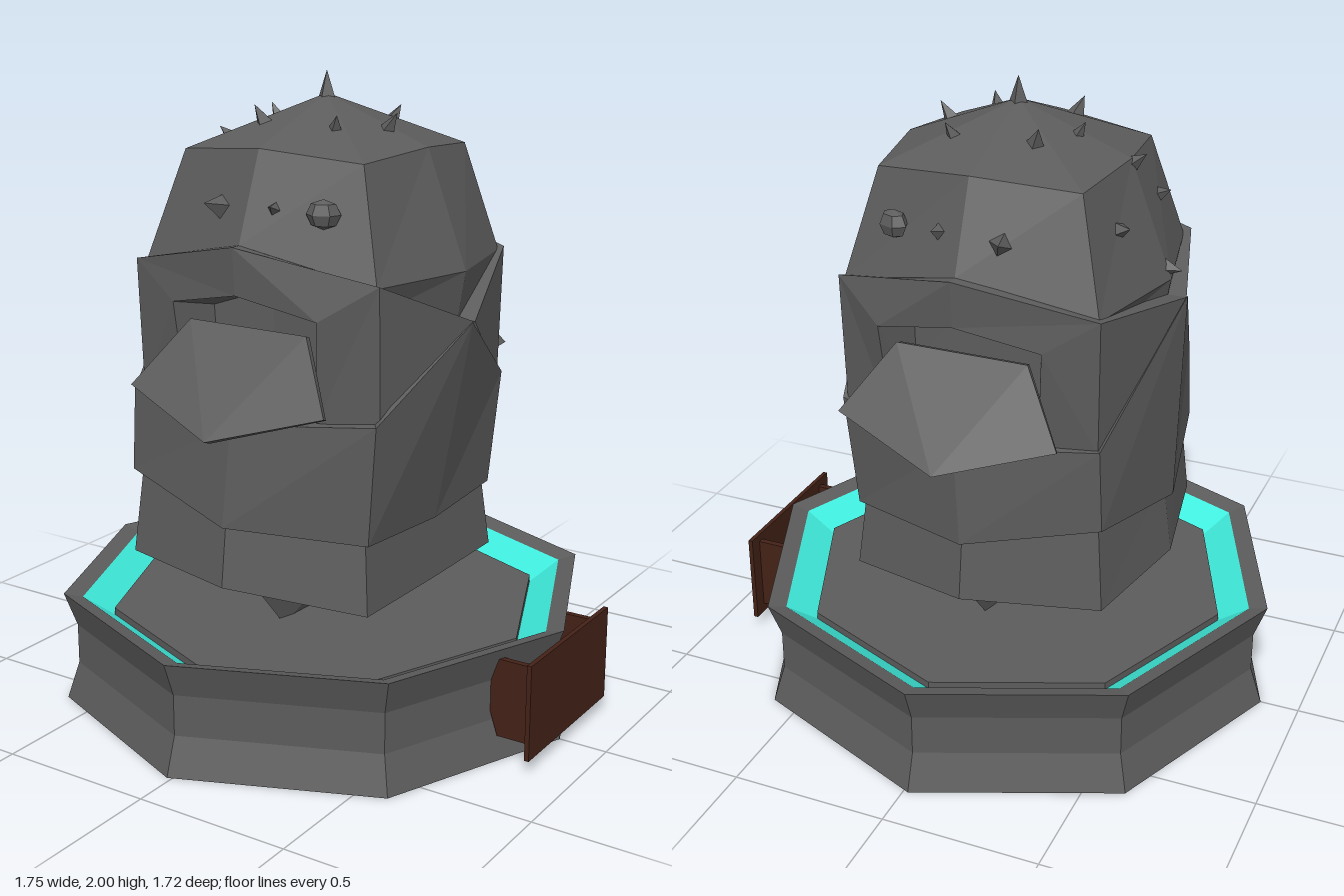
import * as THREE from 'three';

const stone = new THREE.MeshStandardMaterial({ color: 0x5c5c5c, flatShading: true, side: THREE.DoubleSide });
const wood = new THREE.MeshStandardMaterial({ color: 0x442217, flatShading: true });
const waterMat = new THREE.MeshStandardMaterial({ color: 0x40f0e0, flatShading: true, side: THREE.DoubleSide });

function mesh(name, geometry, material = stone) {
  const m = new THREE.Mesh(geometry, material);
  m.name = name;
  return m;
}

// Flat polygons given as corner lists, each split into a fan
function polygons(points, faces) {
  const pos = [];
  for (const f of faces)
    for (let i = 1; i < f.length - 1; i++)
      pos.push(...points[f[0]], ...points[f[i]], ...points[f[i + 1]]);
  const g = new THREE.BufferGeometry();
  g.setAttribute('position', new THREE.Float32BufferAttribute(pos, 3));
  g.computeVertexNormals();
  return g;
}

// Eight-point ring: f = [z, y] front and back, k = [x, z, y] corners, s = [x, y] left side;
// kr = corner z and sr = [x, y] on the right side; shifted in x and z, tilted across x
function ring(f, k, s, { kr = k[1], sr = s, shift = 0, dz = 0, tilt = 0 } = {}) {
  return [
    [0, f[1], f[0]], [k[0], k[2], k[1]], [s[0], s[1], 0], [k[0], k[2], -k[1]],
    [0, f[1], -f[0]], [-k[0], k[2], -kr], [-sr[0], sr[1], 0], [-k[0], k[2], kr],
  ].map(([x, y, z]) => [x + shift, y + x * tilt, z + dz]);
}
const point = (x, y) => ring([0, y], [0, 0, y], [0, y], { shift: x });

// Skin between rings, listed from bottom to top
function loft(rings) {
  const faces = [];
  for (let r = 0; r < rings.length - 1; r++)
    for (let i = 0; i < 8; i++) {
      const j = (i + 1) % 8, a = r * 8, b = a + 8;
      faces.push([a + i, a + j, b + j, b + i]);
    }
  return polygons(rings.flat(), faces);
}

// Eight-sided turned shape from [radius, y] pairs
const octagon = (profile) => new THREE.LatheGeometry(profile.map(([r, y]) => new THREE.Vector2(r, y)), 8);

function buildBasin() {
  const g = new THREE.Group();
  g.name = 'basin';
  g.add(
    mesh('basinWall', octagon([[0, 0], [0.86, 0], [0.82, 0.12], [0.82, 0.25], [0.86, 0.36], [0.8, 0.345]])),
    // Water in a trough that falls towards the platform
    mesh('water', octagon([[0.8, 0.345], [0.7, 0.275]]), waterMat),
    mesh('platform', octagon([[0.7, 0.275], [0.7, 0.298], [0, 0.298]])),
  );
  return g;
}

// One side of the face: half of the brow, a cheek and the inside of the mouth
function buildFaceHalf(side) {
  const [sx, sy, kz] = side > 0 ? [0.53, 1.28, 0.375] : [0.545, 1.38, 0.415];
  const pts = [
    [0, 1.53, 0.5], [0.425, 1.44, kz], [sx, sy, 0],
    [0, 1.385, 0.49], [0.26, 1.33, 0.45], [0.24, 1.02, 0.42], [0.42, 1.02, kz - 0.015],
    [0, 1.53, 0.45], [0.4, 1.43, 0.34], [0.46, sy, 0],
    [0, 1.37, 0.28], [0.2, 1.3, 0.3], [0.2, 1.02, 0.3],
  ].map(([x, y, z]) => [x * side, y, z]);
  const faces = [
    [0, 3, 4, 1], [1, 4, 5, 6], [1, 6, 2], [0, 1, 8, 7], [1, 2, 9, 8], [3, 10, 11, 4], [4, 11, 12, 5],
  ].map((f) => (side > 0 ? f : f.reverse()));
  return mesh(side > 0 ? 'leftCheekAndBrow' : 'rightCheekAndBrow', polygons(pts, faces));
}

// Spout: a thin pointed slab hanging out of the mouth
function buildSpout() {
  const outer = [[0.21, 1.28, 0.43], [-0.21, 1.28, 0.43], [-0.35, 1.08, 0.55], [0, 0.98, 0.65], [0.35, 1.08, 0.55]];
  const inner = outer.map(([x, y, z]) => [x * 0.97, y - 0.01, z - 0.028]);
  const faces = [[3, 4, 0, 1, 2], [8, 7, 6, 5, 9]];
  for (let i = 0; i < 5; i++) {
    const j = (i + 1) % 5;
    faces.push([i, i + 5, j + 5, j]);
  }
  return mesh('spout', polygons([...outer, ...inner], faces));
}

function buildHead() {
  const g = new THREE.Group();
  g.name = 'head';
  // Narrow foot under the collar
  const foot = new THREE.CylinderGeometry(1, 0.25, 0.24, 4);
  const p = foot.attributes.position;
  for (let i = 0; i < p.count; i++) {
    const top = p.getY(i) > 0;
    p.setX(i, Math.sign(Math.round(p.getX(i) * 100)) * (top ? 0.13 : 0.01));
    p.setZ(i, Math.sign(Math.round(p.getZ(i) * 100)) * (top ? 0.46 : 0.25));
  }
  const footMesh = mesh('foot', foot);
  footMesh.position.y = 0.39;
  g.add(footMesh);

  const low = { shift: -0.02, dz: 0.018, kr: 0.425 };
  g.add(mesh('collar', loft([
    point(-0.02, 0.47),
    ring([0.532, 0.49], [0.425, 0.38, 0.465], [0.43, 0.466], { ...low, sr: [0.505, 0.46], tilt: -0.06 }),
    ring([0.505, 0.7], [0.4, 0.355, 0.73], [0.405, 0.73], { ...low, kr: 0.4, sr: [0.47, 0.7], tilt: -0.1 }),
    point(-0.02, 0.74),
  ])));
  g.add(mesh('jaw', loft([
    point(-0.02, 0.72),
    ring([0.525, 0.68], [0.42, 0.37, 0.712], [0.435, 0.7], { ...low, sr: [0.505, 0.63], tilt: -0.13 }),
    ring([0.51, 1.0], [0.43, 0.385, 1.03], [0.53, 1.28], { kr: 0.425, sr: [0.545, 1.38], dz: 0.012 }),
    ring([0.3, 1.02], [0.38, 0.33, 1.03], [0.44, 1.28]),
  ])));
  // Skull, set back below the brow to leave the mouths hollow
  g.add(mesh('skull', loft([
    ring([0.29, 0.9], [0.38, 0.33, 0.95], [0.4, 0.95]),
    ring([0.29, 1.42], [0.38, 0.34, 1.34], [0.47, 1.28]),
    ring([0.465, 1.53], [0.41, 0.365, 1.43], [0.495, 1.43], { kr: 0.385 }),
    ring([0.36, 1.8], [0.32, 0.295, 1.77], [0.36, 1.79]),
    point(0, 1.93),
  ])));
  // The same face looks forward and backward
  for (const [name, dir] of [['frontFace', 1], ['backFace', -1]]) {
    const face = new THREE.Group();
    face.name = name;
    face.add(buildFaceHalf(1), buildFaceHalf(-1), buildSpout());
    face.scale.z = dir;
    g.add(face);
  }
  return g;
}

// Thorns and knobs scattered over the skull: x, y, z, radius, height
function buildThorns() {
  const g = new THREE.Group();
  g.name = 'thorns';
  const list = [
    [0, 1.93, 0, 0.05, 0.14], [-0.2, 1.85, -0.02, 0.035, 0.09], [0.24, 1.85, 0.02, 0.035, 0.09],
    [-0.37, 1.78, 0.01, 0.035, 0.08], [-0.49, 1.46, 0.01, 0.035, 0.07],
  ];
  for (const s of [1, -1])
    list.push([-0.125, 1.86, 0.165 * s, 0.045, 0.1], [0.14, 1.85, 0.165 * s, 0.04, 0.09],
      [-0.39, 1.63, 0.17 * s, 0.045, 0.08], [-0.12, 1.63, 0.42 * s, 0.045, 0.08], [0.085, 1.64, 0.415 * s, 0.025, 0.04]);
  for (const [x, y, z, r, h] of list) {
    const m = mesh('thorn', new THREE.ConeGeometry(r, h, 4));
    m.position.set(x, y, z);
    m.quaternion.setFromUnitVectors(new THREE.Vector3(0, 1, 0), new THREE.Vector3(x, y - 1.5, z).normalize());
    g.add(m);
  }
  for (const s of [1, -1]) {
    const knob = mesh('knob', new THREE.SphereGeometry(0.052, 6, 4));
    knob.scale.set(1, 0.85, 0.7);
    knob.position.set(0.235, 1.63, 0.375 * s);
    knob.rotation.y = 0.35 * s;
    g.add(knob);
  }
  return g;
}

function buildSign() {
  const g = new THREE.Group();
  g.name = 'sign';
  const board = mesh('signBoard', new THREE.BoxGeometry(0.015, 0.305, 0.53), wood);
  board.position.set(0.8625, 0.1975, 0);
  g.add(board);
  // Brackets with a bevelled inner edge
  const shape = new THREE.Shape([[0.86, 0.075], [0.86, 0.325], [0.74, 0.325], [0.715, 0.25], [0.715, 0.15], [0.74, 0.075]]
    .map(([x, y]) => new THREE.Vector2(x, y)));
  for (const s of [1, -1]) {
    const bracket = mesh('signBracket', new THREE.ExtrudeGeometry(shape, { depth: 0.02, bevelEnabled: false }), wood);
    bracket.position.z = 0.21 * s - 0.01;
    g.add(bracket);
  }
  return g;
}

export function createModel() {
  const model = new THREE.Group();
  model.name = 'stoneHeadFountain';
  const fountain = new THREE.Group();
  fountain.name = 'fountain';
  fountain.position.x = -0.015;
  fountain.add(buildBasin(), buildHead(), buildThorns());
  model.add(fountain, buildSign());
  return model;
}
